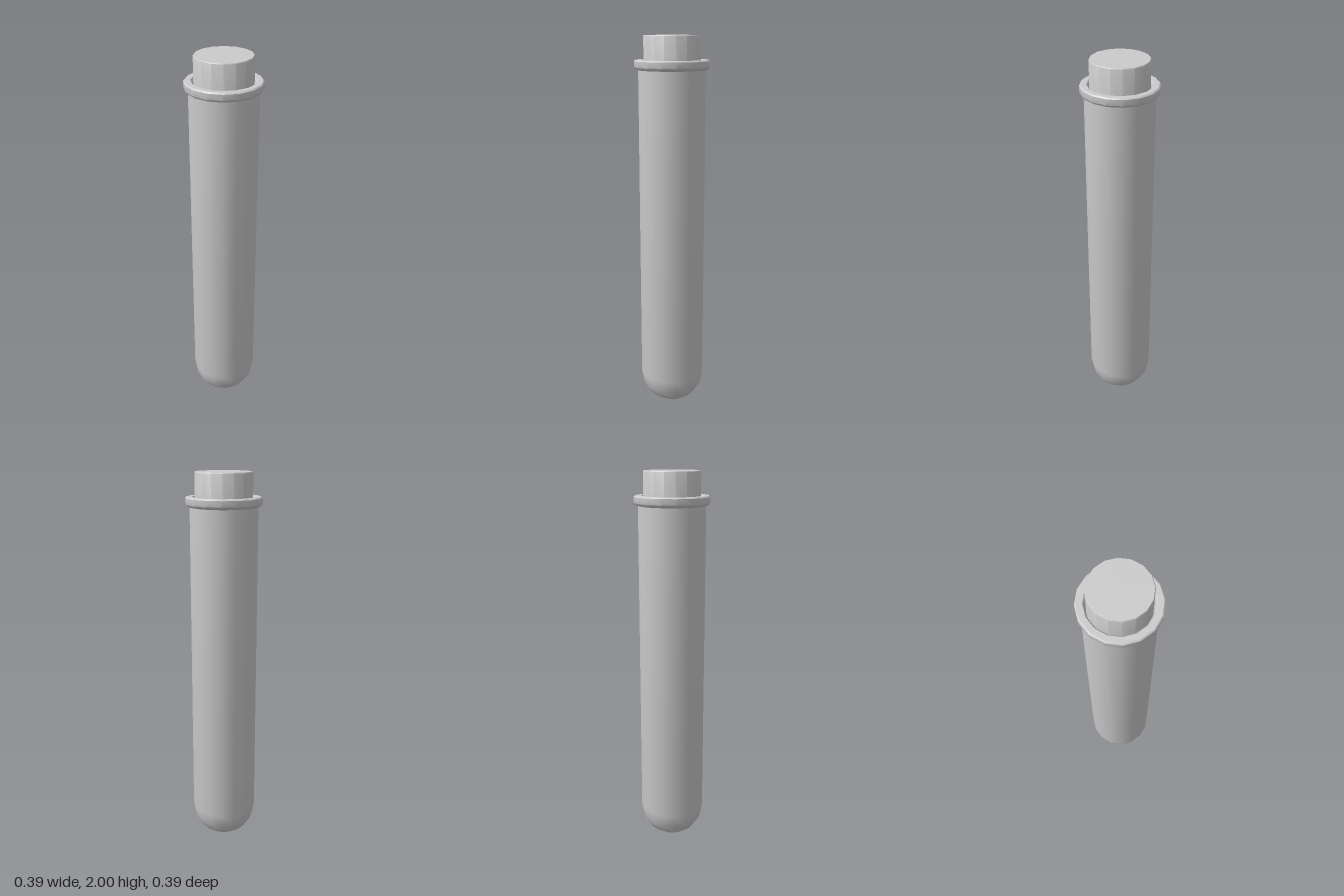
import * as THREE from 'three';
import { toCreasedNormals } from 'three/addons/utils/BufferGeometryUtils.js';

const SIDES = 16;

// Lathe a bottom-to-top outer profile, smooth around the axis and crisp at hard edges.
function turned(name, points, material) {
  const profile = points.map(([r, y]) => new THREE.Vector2(r, y));
  const geometry = toCreasedNormals(new THREE.LatheGeometry(profile, SIDES), 0.7);
  const mesh = new THREE.Mesh(geometry, material);
  mesh.name = name;
  return mesh;
}

// Quarter arc for a round bottom, from the axis out to the wall.
function roundBottom(radius, centreY, steps = 4) {
  return Array.from({ length: steps + 1 }, (_, i) => {
    const a = (i / steps) * Math.PI / 2;
    return [radius * Math.sin(a), centreY - radius * Math.cos(a)];
  });
}

export function createModel() {
  const group = new THREE.Group();
  group.name = 'testTube';
  const material = new THREE.MeshStandardMaterial({ color: 0xcccccc });

  // Tube: rounded end, straight wall, flared lip, then the inner wall back down
  const outer = roundBottom(0.172, 0.172);
  const lip = [
    [0.172, 1.83], [0.185, 1.835], [0.193, 1.845],
    [0.193, 1.874], [0.187, 1.88], [0.159, 1.88], [0.153, 1.875], [0.15, 1.865],
  ];
  const inner = roundBottom(0.15, 0.172).reverse();
  group.add(turned('tube', [...outer, ...lip, ...inner], material));

  // Stopper: plug seated in the mouth with a flat top
  group.add(turned('stopper', [
    [0, 1.72], [0.145, 1.72], [0.145, 1.996], [0.142, 2], [0, 2],
  ], material));

  return group;
}
